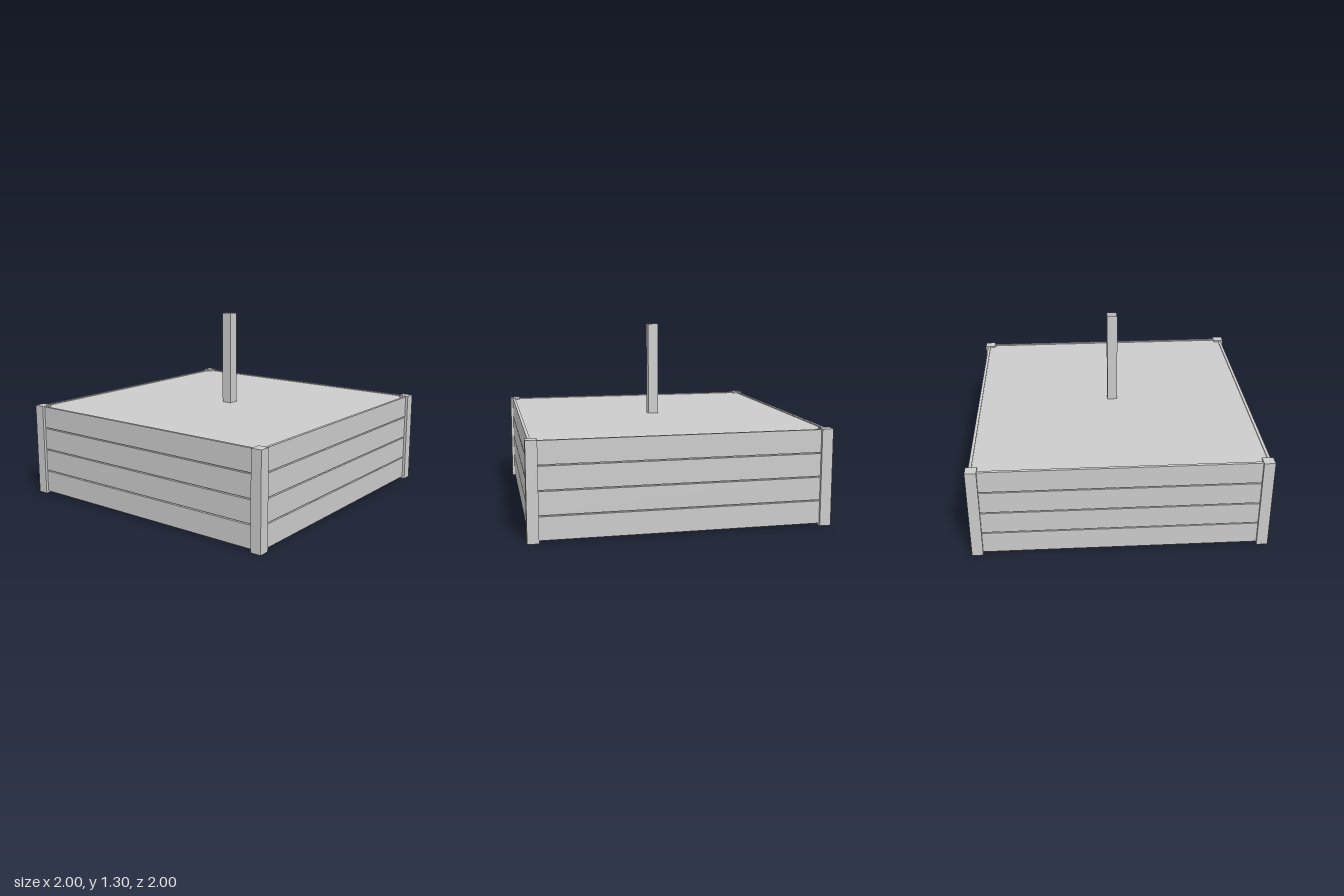
import * as THREE from 'three';

export function createModel() {
  const model = new THREE.Group();
  const material = new THREE.MeshStandardMaterial({ color: 0xcccccc, flatShading: true });
  const openMaterial = material.clone();
  openMaterial.side = THREE.DoubleSide;

  function box(name, w, h, d, x, y, z, parent = model) {
    const mesh = new THREE.Mesh(new THREE.BoxGeometry(w, h, d), material);
    mesh.name = name;
    mesh.position.set(x, y, z);
    parent.add(mesh);
    return mesh;
  }

  // Solid filling, set back behind the boards
  box('filling', 1.93, 0.63, 1.93, 0, 0.325, 0);

  // Square posts at the four corners
  const postSize = 0.075, postHeight = 0.652;
  for (const sx of [-1, 1]) {
    for (const sz of [-1, 1]) {
      const c = 1 - postSize / 2;
      box('cornerPost', postSize, postHeight, postSize, sx * c, postHeight / 2, sz * c);
    }
  }

  // Four sides of four stacked boards with narrow gaps
  const pitch = 0.16, gap = 0.008, thickness = 0.02, outer = 0.982;
  for (let side = 0; side < 4; side++) {
    const wall = new THREE.Group();
    wall.name = 'sideWall';
    wall.rotation.y = side * Math.PI / 2;
    for (let i = 0; i < 4; i++) {
      box('board', 1.86, pitch - gap, thickness, 0, 0.01 + pitch * (i + 0.5), outer - thickness / 2, wall);
    }
    model.add(wall);
  }

  // Hollow square pole in the middle, open at the top
  const poleWidth = 0.072, poleBase = 0.6, poleTop = 1.3;
  const pole = new THREE.Mesh(
    new THREE.CylinderGeometry(poleWidth / Math.SQRT2, poleWidth / Math.SQRT2, poleTop - poleBase, 4, 1, true).rotateY(Math.PI / 4),
    openMaterial
  );
  pole.name = 'centrePole';
  pole.position.y = (poleBase + poleTop) / 2;
  model.add(pole);

  return model;
}
